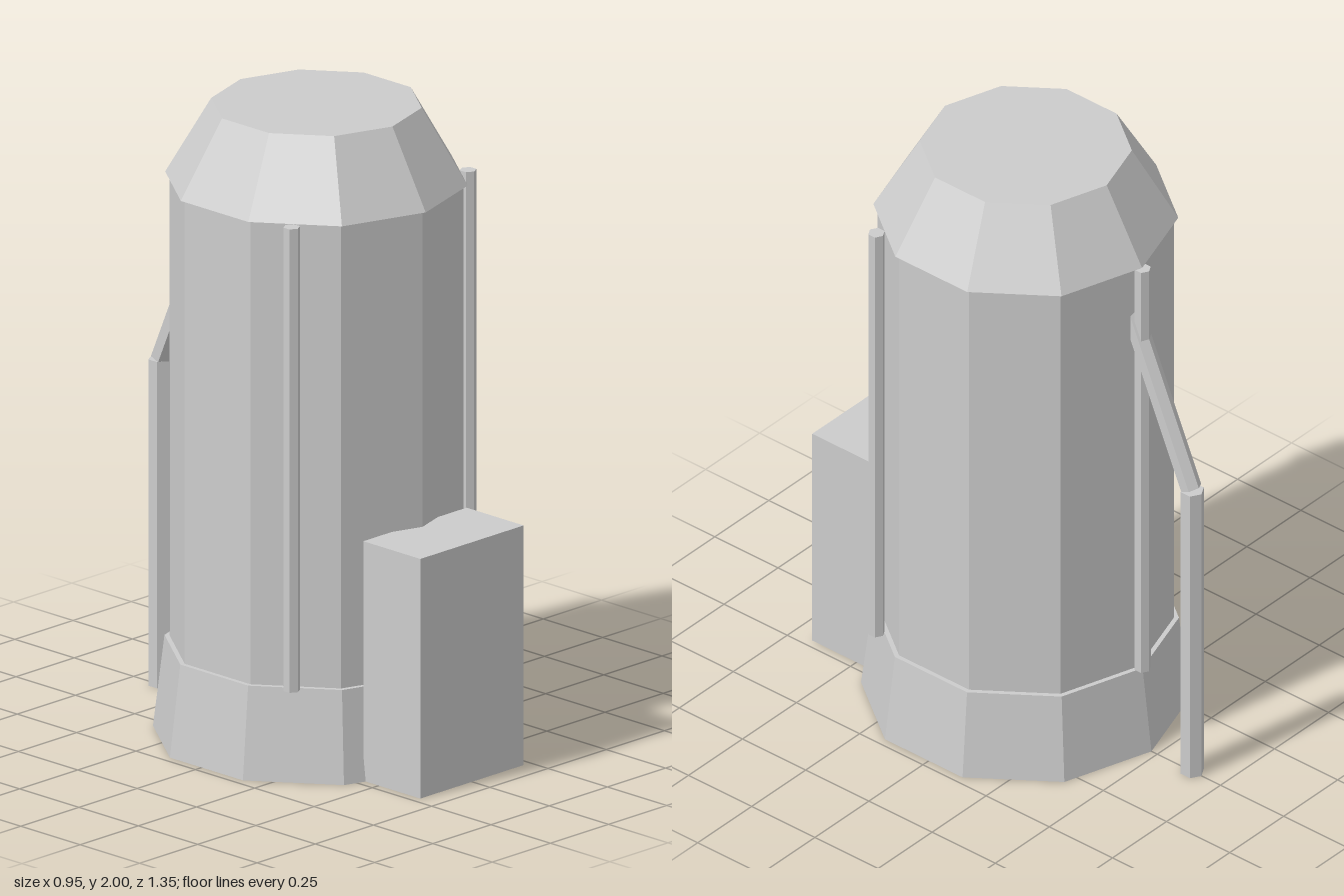
import * as THREE from 'three';

export function createModel() {
  const model = new THREE.Group();
  model.name = 'storageTank';

  const grey = new THREE.MeshStandardMaterial({ color: 0xcccccc, flatShading: true });
  grey.name = 'light grey';

  const add = (name, geometry, x, y, z) => {
    const mesh = new THREE.Mesh(geometry, grey);
    mesh.name = name;
    mesh.position.set(x, y, z);
    model.add(mesh);
    return mesh;
  };

  // Ten-sided tank sections, stacked on one axis
  const axisZ = 0.02;
  const section = (name, rTop, rBottom, y0, y1) =>
    add(name, new THREE.CylinderGeometry(rTop, rBottom, y1 - y0, 10), 0, (y0 + y1) / 2, axisZ);
  section('base', 0.462, 0.497, 0, 0.29);
  section('body', 0.447, 0.447, 0.29, 1.76);
  section('cap', 0.32, 0.46, 1.76, 2);

  // Six-sided pipe between two points
  const pipe = (name, radius, from, to) => {
    const a = new THREE.Vector3(...from);
    const b = new THREE.Vector3(...to);
    const dir = b.clone().sub(a);
    const mid = a.clone().add(b).multiplyScalar(0.5);
    const mesh = add(name, new THREE.CylinderGeometry(radius, radius, dir.length(), 6), mid.x, mid.y, mid.z);
    mesh.quaternion.setFromUnitVectors(new THREE.Vector3(0, 1, 0), dir.normalize());
  };

  // Upright pipes along the body
  pipe('leftPipe', 0.026, [0.379, 0.29, 0.287], [0.379, 1.76, 0.287]);
  pipe('rightPipe', 0.026, [-0.379, 0.29, 0.287], [-0.379, 1.76, 0.287]);
  pipe('backPipe', 0.026, [0, 0.29, -0.442], [0, 1.76, -0.442]);

  // Outlet at the back: a post from the ground and a sloping arm
  pipe('outletPost', 0.037, [0, 0, -0.638], [0, 1.035, -0.638]);
  pipe('outletArm', 0.033, [0, 1.04, -0.634], [0, 1.595, -0.396]);

  // Cabinet at the front
  add('cabinet', new THREE.BoxGeometry(0.444, 0.76, 0.24), 0, 0.38, 0.555);

  return model;
}
